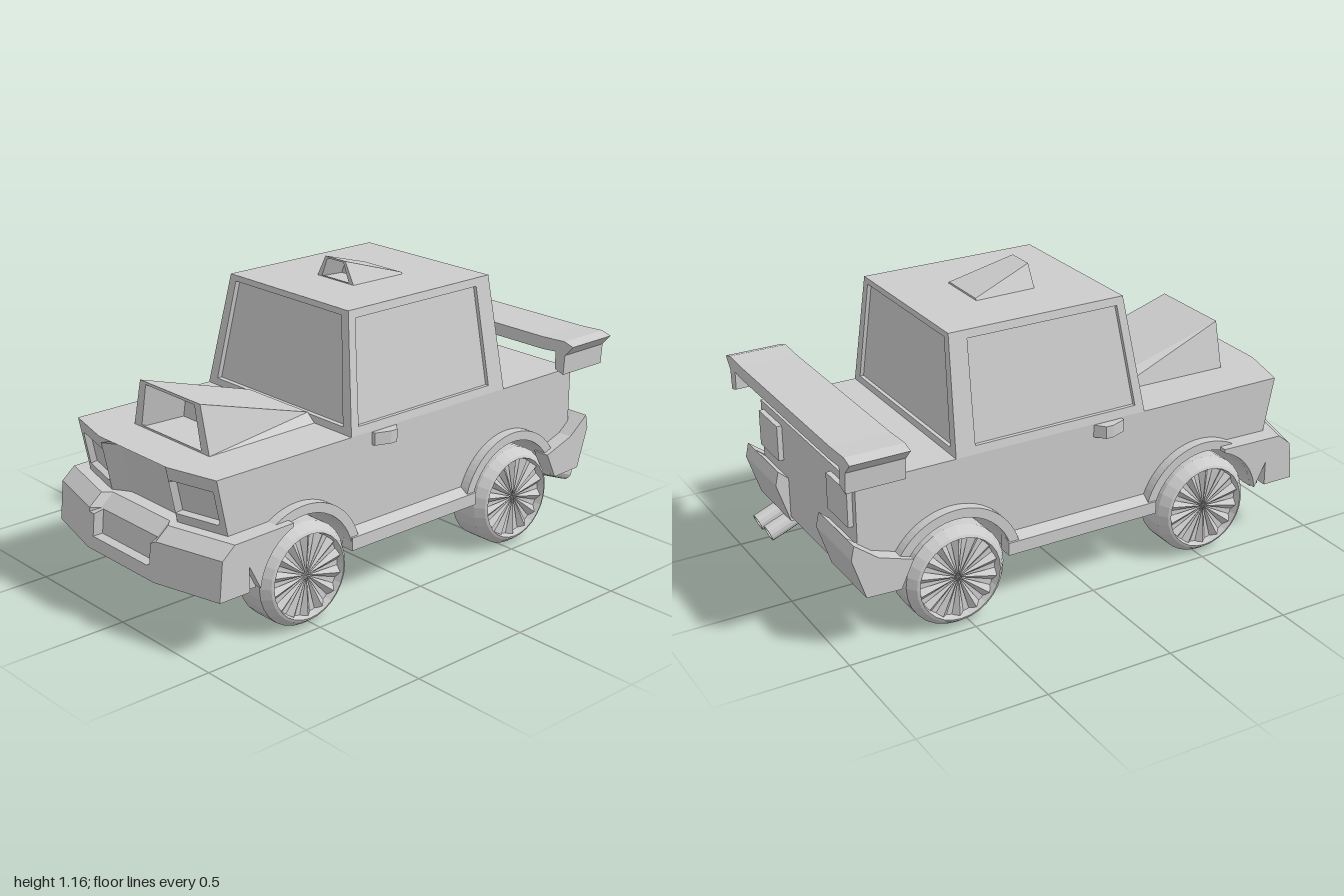
import * as THREE from 'three';

const mat = new THREE.MeshStandardMaterial({ color: 0xcccccc, flatShading: true, side: THREE.DoubleSide });
const V = (x, y, z) => new THREE.Vector3(x, y, z);

function add(parent, name, geo) {
  const mesh = new THREE.Mesh(geo, mat);
  mesh.name = name;
  parent.add(mesh);
  return mesh;
}

// Geometry from a list of four-cornered faces
function quads(list) {
  const p = [];
  for (const [a, b, c, d] of list) for (const v of [a, b, c, a, c, d]) p.push(v.x, v.y, v.z);
  const g = new THREE.BufferGeometry();
  g.setAttribute('position', new THREE.Float32BufferAttribute(p, 3));
  g.computeVertexNormals();
  return g;
}

// Four-cornered face (bottom left, bottom right, top right, top left) with a sunken opening
function framed(c, [u0, u1, v0, v1], sink) {
  const at = (u, v) => c[0].clone().lerp(c[1], u).lerp(c[3].clone().lerp(c[2], u), v);
  const inner = [at(u0, v0), at(u1, v0), at(u1, v1), at(u0, v1)];
  const deep = inner.map(p => p.clone().add(sink));
  const faces = [deep];
  for (let i = 0; i < 4; i++) {
    const j = (i + 1) % 4;
    faces.push([c[i], c[j], inner[j], inner[i]], [inner[i], inner[j], deep[j], deep[i]]);
  }
  return faces;
}

// Side profile in (z, y), extruded from x0 to x1
function sideExtrude(shape, x0, x1) {
  const g = new THREE.ExtrudeGeometry(shape, { depth: x1 - x0, bevelEnabled: false, curveSegments: 16 });
  return g.rotateY(-Math.PI / 2).translate(x1, 0, 0);
}
const poly = pts => new THREE.Shape(pts.map(p => new THREE.Vector2(...p)));

// Box on a given x/y grid whose front face follows z = front(|x|, y)
function facedBox(halfXs, ys, zBack, front) {
  const xs = [...halfXs.map(x => -x), ...[...halfXs].reverse()];
  const nx = xs.length - 1, ny = ys.length - 1;
  const g = new THREE.BoxGeometry(nx, ny, 2, nx, ny, 1);
  const p = g.attributes.position;
  for (let i = 0; i < p.count; i++) {
    const x = xs[Math.round(p.getX(i) + nx / 2)], y = ys[Math.round(p.getY(i) + ny / 2)];
    p.setXYZ(i, x, y, p.getZ(i) > 0 ? front(Math.abs(x), y) : zBack);
  }
  return g;
}

const AXLES = [0.525, -0.545];
const AXLE_Y = 0.2;

// Wedge-shaped air scoop with an open front
function scoop(zf, zb, y0, yf, yb, baseF, topF, baseB, topB, opening, sink) {
  const f = [V(-baseF, y0, zf), V(baseF, y0, zf), V(topF, yf, zf), V(-topF, yf, zf)];
  const b = [V(-baseB, y0, zb), V(baseB, y0, zb), V(topB, yb, zb), V(-topB, yb, zb)];
  return quads([...framed(f, opening, sink), [f[3], f[2], b[2], b[3]],
    [f[1], b[1], b[2], f[2]], [b[0], f[0], f[3], b[3]], [b[1], b[0], b[3], b[2]]]);
}

function wheel() {
  const g = new THREE.Group();
  g.name = 'wheel';
  // Tyre with bevelled shoulder and a dished rim, axis along x
  const profile = [[0, 0], [0.185, 0], [0.197, 0.01], [0.197, 0.125], [0.172, 0.16], [0.162, 0.165],
    [0.155, 0.135], [0, 0.13]].map(p => new THREE.Vector2(...p));
  add(g, 'tyre', new THREE.LatheGeometry(profile, 28).rotateZ(-Math.PI / 2));
  // Wedge spokes
  const n = 14;
  for (let i = 0; i < n; i++) {
    const a = i / n * Math.PI * 2, w = 0.15;
    const p = (r, t, x) => V(x, r * Math.cos(a + t), r * Math.sin(a + t));
    const hub = V(0.146, 0, 0);
    const l = p(0.156, -w, 0.135), r = p(0.156, w, 0.135), m = p(0.156, 0, 0.155);
    add(g, 'spoke', quads([[hub, l, m, m], [hub, m, r, r]]));
  }
  return g;
}

export function createModel() {
  const car = new THREE.Group();
  car.name = 'car';

  // Lower body with wheel arches cut right through
  const body = new THREE.Shape();
  body.moveTo(-0.91, 0.64);
  body.lineTo(-0.91, 0.25);
  body.lineTo(-0.77, 0.225);
  for (const z of [...AXLES].reverse()) body.absarc(z, AXLE_Y, 0.228, Math.PI - 0.11, 0.11, true);
  body.lineTo(0.82, 0.225);
  body.lineTo(0.82, 0.64);
  add(car, 'body', sideExtrude(body, -0.41, 0.41));

  // Nose with sunken grille and headlights
  add(car, 'nose', facedBox([0.41, 0.385, 0.375, 0.205, 0.195, 0.13],
    [0.4, 0.46, 0.468, 0.582, 0.59, 0.615, 0.64], 0.81, (x, y) => {
      let z = 0.93 - Math.max(0, x - 0.2) * 0.25 - (0.64 - y) * 0.2;
      if (x <= 0.13 && y <= 0.615) z -= 0.04;
      if (x >= 0.205 && x <= 0.375 && y > 0.465 && y < 0.585) z -= 0.025;
      return z;
    }));

  // Front bumper with a sunken centre panel
  add(car, 'frontBumper', facedBox([0.48, 0.2, 0.17, 0.155],
    [0.23, 0.28, 0.288, 0.365, 0.38, 0.425], 0.8, (x, y) => {
      let z = 1 - Math.max(0, x - 0.2) * 0.25 - (y - 0.23) * 0.1;
      if (y > 0.4) z -= 0.05;
      if (x < 0.18 && y > 0.37) z -= 0.03;
      if (x < 0.16 && y > 0.285 && y < 0.37) z -= 0.03;
      return z;
    }));

  // Cabin: framed windows on four sides plus roof
  const cab = (s, zSign, top) => top ? V(s * 0.33, 1.08, zSign > 0 ? 0.215 : -0.5)
    : V(s * 0.41, 0.64, zSign > 0 ? 0.27 : -0.52);
  const wall = (a, b) => [cab(...a), cab(...b), cab(...b, true), cab(...a, true)];
  const cabin = new THREE.Group();
  cabin.name = 'cabin';
  car.add(cabin);
  add(cabin, 'windscreen', quads(framed(wall([-1, 1], [1, 1]), [0.055, 0.945, 0.06, 0.95], V(0, 0, -0.02))));
  add(cabin, 'rearWindow', quads(framed(wall([1, -1], [-1, -1]), [0.05, 0.95, 0.06, 0.95], V(0, 0, 0.015))));
  add(cabin, 'rightWindow', quads(framed(wall([-1, -1], [-1, 1]), [0.1, 0.955, 0.07, 0.93], V(0.015, 0, 0))));
  add(cabin, 'leftWindow', quads(framed(wall([1, 1], [1, -1]), [0.045, 0.9, 0.07, 0.93], V(-0.015, 0, 0))));
  add(cabin, 'roof', quads([[cab(-1, 1, true), cab(1, 1, true), cab(1, -1, true), cab(-1, -1, true)]]));

  // Air scoops
  add(car, 'bonnetScoop', scoop(0.76, 0.265, 0.64, 0.82, 0.67, 0.22, 0.175, 0.21, 0.168,
    [0.1, 0.9, 0.04, 0.94], V(0, -0.06, -0.18)));
  add(car, 'roofScoop', scoop(-0.02, -0.265, 1.08, 1.163, 1.087, 0.1, 0.055, 0.105, 0.1,
    [0.12, 0.88, 0.05, 0.92], V(0, -0.03, -0.09)));

  // Rear wing with hanging end plates
  const half = [[0.39, 0.795], [0.5, 0.8], [0.543, 0.787], [0.505, 0.745], [0.5, 0.665],
    [0.457, 0.68], [0.457, 0.75], [0.39, 0.745]];
  const wing = poly([...half, ...half.map(([x, y]) => [-x, y]).reverse()]);
  add(car, 'rearWing', new THREE.ExtrudeGeometry(wing, { depth: 0.225, bevelEnabled: false }).translate(0, 0, -0.985));

  // Parts mirrored on both sides
  for (const s of [1, -1]) {
    const side = new THREE.Group();
    side.name = s > 0 ? 'leftSide' : 'rightSide';
    side.scale.x = s;
    car.add(side);

    for (const z of AXLES) {
      const w = wheel();
      w.position.set(0.31, AXLE_Y, z);
      side.add(w);
      // Arch flare
      const flare = new THREE.Shape();
      flare.absarc(z, AXLE_Y, 0.265, 0.1, Math.PI - 0.1, false);
      flare.absarc(z, AXLE_Y, 0.228, Math.PI - 0.1, 0.1, true);
      add(side, 'archFlare', sideExtrude(flare, 0.4, 0.45));
    }

    // Bumper side running back over the front arch
    const wrap = new THREE.Shape();
    wrap.moveTo(0.85, 0.23);
    wrap.absarc(AXLES[0], AXLE_Y, 0.228, 0.13, 1.235, false);
    wrap.lineTo(0.6, 0.43);
    wrap.lineTo(0.85, 0.425);
    add(side, 'frontBumperSide', sideExtrude(wrap, 0.4, 0.48));

    // Sill with sloped upper edge
    const sill = poly([[0.4, 0.225], [0.455, 0.225], [0.455, 0.275], [0.41, 0.295], [0.4, 0.295]]);
    add(side, 'sill', new THREE.ExtrudeGeometry(sill, { depth: 0.64, bevelEnabled: false }).translate(0, 0, -0.335));

    // Rear corner bumper
    add(side, 'rearBumper', sideExtrude(poly([[-0.725, 0.33], [-0.86, 0.375], [-0.95, 0.445], [-0.962, 0.39],
      [-0.91, 0.23], [-0.775, 0.225]]), 0.4, 0.47));
    add(side, 'rearBumperInner', sideExtrude(poly([[-0.9, 0.4], [-0.95, 0.445], [-0.962, 0.39],
      [-0.91, 0.23], [-0.88, 0.23]]), 0.18, 0.4));

    // Tail light
    add(side, 'tailLight', new THREE.BoxGeometry(0.17, 0.14, 0.03).translate(0.3, 0.54, -0.915));

    // Door handle, tapering towards the back
    const handle = poly([[0.4, -0.17], [0.425, -0.17], [0.447, -0.11], [0.447, -0.08], [0.4, -0.04]]);
    add(side, 'doorHandle', new THREE.ExtrudeGeometry(handle, { depth: 0.048, bevelEnabled: false })
      .rotateX(-Math.PI / 2).translate(0, 0.588, 0));
  }

  // Axles
  for (const z of AXLES) {
    add(car, 'axle', new THREE.CylinderGeometry(0.07, 0.07, 0.64, 20).rotateZ(Math.PI / 2).translate(0, AXLE_Y, z));
  }

  // Twin exhaust pipes
  for (const x of [0.255, 0.355]) {
    const pipe = [[0, -0.05], [0.033, -0.05], [0.033, 0.2], [0.025, 0.2], [0.025, 0.1], [0, 0.1]]
      .map(p => new THREE.Vector2(...p));
    const m = add(car, 'exhaust', new THREE.LatheGeometry(pipe, 14));
    m.position.set(x, 0.235, -0.79);
    m.rotation.x = -Math.PI / 2 - 0.38;
  }
  return car;
}
